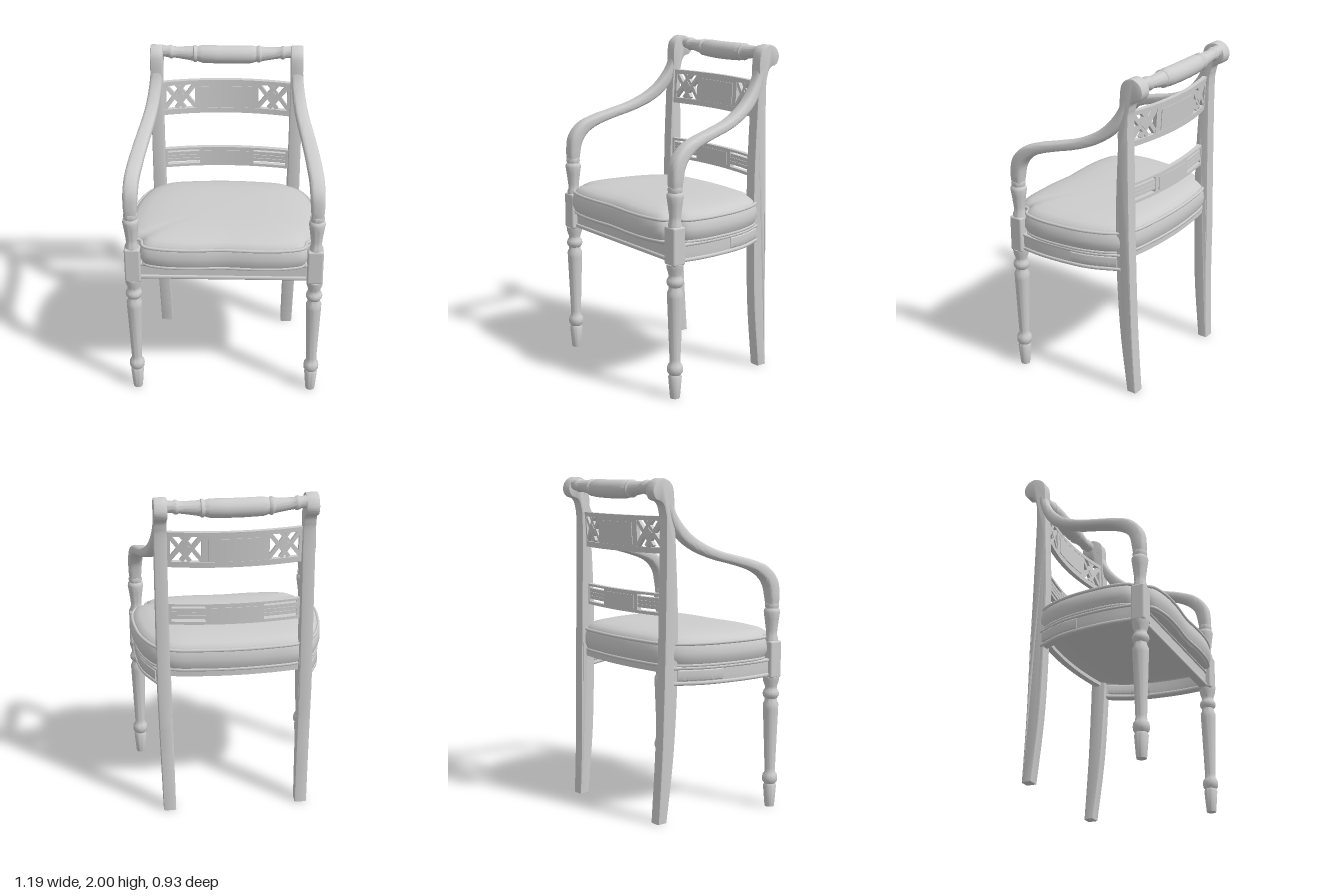
import * as THREE from 'three';
import { toCreasedNormals } from 'three/addons/utils/BufferGeometryUtils.js';
import { RoundedBoxGeometry } from 'three/addons/geometries/RoundedBoxGeometry.js';

const V = (x, y, z) => new THREE.Vector3(x, y, z);

// Closed skin over equal-sized rings of points, capped at both ends
function loft(rings) {
  const n = rings[0].length, pos = [], idx = [];
  rings.forEach(r => r.forEach(p => pos.push(p.x, p.y, p.z)));
  for (let i = 0; i < rings.length - 1; i++) for (let j = 0; j < n; j++) {
    const a = i * n + j, b = i * n + (j + 1) % n;
    idx.push(a, b, b + n, a, b + n, a + n);
  }
  [[rings[0], 0, true], [rings.at(-1), (rings.length - 1) * n, false]].forEach(([ring, base, flip]) => {
    const c = ring.reduce((s, p) => s.add(p), V(0, 0, 0)).divideScalar(n), k = pos.length / 3;
    pos.push(c.x, c.y, c.z);
    for (let j = 0; j < n; j++) {
      const a = base + j, b = base + (j + 1) % n;
      idx.push(k, flip ? b : a, flip ? a : b);
    }
  });
  const g = new THREE.BufferGeometry();
  g.setAttribute('position', new THREE.Float32BufferAttribute(pos, 3));
  g.setIndex(idx);
  return toCreasedNormals(g, 0.9);
}

// Sweep a rounded rectangle along rows of [x, y, z, width, thickness]
function sweep(rows, side, power, steps = 40) {
  const curve = new THREE.CatmullRomCurve3(rows.map(r => V(r[0] * side, r[1], r[2])));
  const size = new THREE.CatmullRomCurve3(rows.map(r => V(r[3], r[4], 0)), false, 'catmullrom', 0.3);
  const rings = [];
  for (let i = 0; i <= steps; i++) {
    const u = i / steps, c = curve.getPoint(u), d = size.getPoint(u), t = curve.getTangent(u);
    const s = V(1, 0, 0).addScaledVector(t, -t.x).normalize(), n = t.clone().cross(s);
    rings.push(Array.from({ length: 24 }, (_, j) => {
      const a = j / 24 * Math.PI * 2, e = v => Math.sign(v) * Math.abs(v) ** power;
      return c.clone().addScaledVector(s, e(Math.cos(a)) * d.x / 2).addScaledVector(n, e(Math.sin(a)) * d.y / 2);
    }));
  }
  return loft(rings);
}

// Turned profile from [radius, height] pairs
const turned = (pts, segs = 28) => toCreasedNormals(
  new THREE.LatheGeometry(pts.map(p => new THREE.Vector2(...p)), segs), 0.7);

export function createModel() {
  const model = new THREE.Group();
  const paint = new THREE.MeshStandardMaterial({ color: 0xcccccc });
  paint.name = 'lightGrey';
  const add = (name, geo, x = 0, y = 0, z = 0) => {
    const m = new THREE.Mesh(geo, paint);
    m.name = name;
    m.position.set(x, y, z);
    model.add(m);
    return m;
  };

  // Box bowed backwards in the middle, for the back rails
  const bowed = (name, x, y, w, h, d, z0, depth, lean = 0, angle = 0) => {
    const g = new THREE.BoxGeometry(w, h, d, 16, 2, 1).rotateZ(angle).translate(x, y, 0);
    const p = g.attributes.position;
    for (let i = 0; i < p.count; i++) {
      const bow = 1 - (p.getX(i) / 0.39) ** 2;
      p.setZ(i, p.getZ(i) + z0 - depth * bow - lean * (p.getY(i) - y) - lean * (y - 1.68));
    }
    g.computeVertexNormals();
    return add(name, g);
  };

  // Front legs, corner blocks, arm supports and arms
  const legProfile = [[0, 0], [0.028, 0], [0.03, 0.01], [0.04, 0.13], [0.034, 0.145], [0.045, 0.16], [0.047, 0.18],
    [0.044, 0.2], [0.033, 0.215], [0.032, 0.24], [0.046, 0.61], [0.047, 0.64], [0.038, 0.66], [0.036, 0.675],
    [0.047, 0.69], [0.05, 0.705], [0.046, 0.72], [0.036, 0.735], [0.037, 0.75], [0.047, 0.78], [0.05, 0.81], [0, 0.815]];
  const supportProfile = [[0, 1.02], [0.04, 1.02], [0.04, 1.04], [0.033, 1.06], [0.034, 1.09], [0.043, 1.16],
    [0.049, 1.2], [0.047, 1.215], [0.039, 1.225], [0.043, 1.24], [0.04, 1.255], [0, 1.26]];
  const armRows = [[0.545, 1.24, 0.37, 0.07, 0.07], [0.545, 1.3, 0.367, 0.082, 0.08], [0.542, 1.38, 0.352, 0.088, 0.088],
    [0.536, 1.445, 0.3, 0.088, 0.08], [0.525, 1.487, 0.22, 0.088, 0.064], [0.51, 1.523, 0.1, 0.086, 0.056],
    [0.49, 1.562, -0.04, 0.084, 0.058], [0.465, 1.617, -0.16, 0.08, 0.066], [0.445, 1.69, -0.25, 0.078, 0.07],
    [0.43, 1.8, -0.318, 0.075, 0.056], [0.425, 1.9, -0.345, 0.074, 0.05]];

  // Rear post outline as [z, y], with a rolled top
  const postEdge = [[-0.305, 0.4], [-0.285, 0.8], [-0.28, 1.2], [-0.295, 1.6], [-0.305, 1.78], [-0.31, 1.92],
    [-0.332, 1.975], [-0.385, 2], [-0.435, 1.98], [-0.458, 1.93], [-0.44, 1.885], [-0.395, 1.865], [-0.372, 1.82],
    [-0.362, 1.7], [-0.37, 1.2], [-0.38, 0.8], [-0.39, 0.4], [-0.41, 0]].map(p => new THREE.Vector2(...p));
  const postShape = new THREE.Shape().moveTo(-0.41, 0).lineTo(-0.35, 0).splineThru(postEdge);

  // Side rail of the seat, bowed outward
  const railRows = (y, w, h, out) => [[0.54, 0.34], [0.55, 0.2], [0.543, 0.05], [0.512, -0.13], [0.435, -0.3]]
    .map(([x, z]) => [x + out, y, z, w, h]);

  for (const s of [1, -1]) {
    const side = s > 0 ? 'left' : 'right';
    add(side + 'FrontLeg', turned(legProfile), 0.545 * s, 0, 0.37);
    add(side + 'CornerBlock', new RoundedBoxGeometry(0.095, 0.225, 0.085, 3, 0.012), 0.543 * s, 0.917, 0.37);
    add(side + 'ArmSupport', turned(supportProfile), 0.545 * s, 0, 0.37);
    add(side + 'Arm', sweep(armRows, s, 0.6), 0, 0, 0);

    const post = new THREE.ExtrudeGeometry(postShape, { depth: 0.059, curveSegments: 90, bevelThickness: 0.008,
      bevelSize: 0.008, bevelOffset: -0.008, bevelSegments: 2 }).translate(0, 0, -0.0295).rotateY(-Math.PI / 2);
    const p = post.attributes.position;
    for (let i = 0; i < p.count; i++) p.setX(i, p.getX(i) - s * 0.018 * Math.max(0, 1 - p.getY(i) / 0.8));
    add(side + 'RearPost', toCreasedNormals(post, 0.6), 0.426 * s);

    add(side + 'SeatRail', sweep(railRows(0.868, 0.045, 0.11, 0), s, 0.2));
    add(side + 'RailLowerMoulding', sweep(railRows(0.826, 0.055, 0.024, 0.002), s, 0.5));
    add(side + 'RailUpperMoulding', sweep(railRows(0.915, 0.055, 0.02, 0.002), s, 0.5));
    const panel = [[0.535, -0.02], [0.518, -0.11], [0.485, -0.2], [0.448, -0.28]];
    add(side + 'RailPanel', sweep(panel.map(([x, z]) => [x, 0.873, z, 0.056, 0.066]), s, 0.2));
  }

  // Front and back seat rails
  add('frontRail', new RoundedBoxGeometry(1.02, 0.11, 0.045, 2, 0.006), 0, 0.868, 0.355);
  add('frontRailLowerMoulding', new RoundedBoxGeometry(1.02, 0.026, 0.058, 3, 0.01), 0, 0.826, 0.358);
  add('frontRailUpperMoulding', new RoundedBoxGeometry(1.02, 0.024, 0.058, 3, 0.01), 0, 0.914, 0.358);
  bowed('backRail', 0, 0.908, 0.8, 0.04, 0.04, -0.325, 0.035);

  // Cushion with domed top and piping, notched around the arm supports
  const half = [[0.2, 0.455], [0.38, 0.445], [0.48, 0.41], [0.497, 0.345], [0.555, 0.315], [0.582, 0.22],
    [0.578, 0.05], [0.545, -0.13], [0.468, -0.29], [0.38, -0.35], [0.2, -0.378]];
  const outline = new THREE.CatmullRomCurve3([[0, 0.445], ...half, [0, -0.388],
    ...half.map(([x, z]) => [-x, z]).reverse()].map(([x, z]) => V(x, 0, z)), true).getSpacedPoints(140).slice(0, 140);
  const ring = (k, y) => outline.map(q => V(q.x * k, y, 0.03 + (q.z - 0.03) * k));
  add('cushion', loft([[0.5, 0.912], [0.95, 0.912], [0.975, 0.925], [0.99, 0.945], [1.01, 0.97], [1.012, 1], [1.003, 1.03],
    [0.985, 1.055], [0.965, 1.074], [0.91, 1.092], [0.8, 1.106], [0.62, 1.117], [0.4, 1.122], [0.15, 1.124]]
    .map(r => ring(...r))));
  for (const [k, y] of [[0.99, 1.056], [0.978, 0.93]]) {
    add('cushionPiping', new THREE.TubeGeometry(new THREE.CatmullRomCurve3(ring(k, y), true), 200, 0.01, 8, true));
  }

  // Turned top rail with a sagging barrel in the middle
  const rolls = [[0.036, 0.4], [0.034, 0.36], [0.041, 0.345], [0.041, 0.335], [0.034, 0.325], [0.036, 0.29], [0.043, 0.22],
    [0.046, 0.205], [0.052, 0.2], [0.052, 0.19], [0.045, 0.18], [0.05, 0.165], [0.054, 0.15], [0.055, 0.05]];
  const topRail = new THREE.LatheGeometry([...rolls.map(([r, x]) => [r, -x]), ...rolls.slice().reverse()]
    .map(q => new THREE.Vector2(...q)), 28).rotateZ(-Math.PI / 2);
  const tp = topRail.attributes.position;
  for (let i = 0; i < tp.count; i++) tp.setY(i, tp.getY(i) - 0.022 * (1 - (tp.getX(i) / 0.4) ** 2));
  add('topRail', toCreasedNormals(topRail, 0.7), 0, 1.955, -0.41);

  // Upper back splat with pierced lattice ends
  const splat = (name, x, y, w, h, d, a = 0) => bowed(name, x, y, w, h, d, -0.325, 0.05, 0.06, a);
  splat('splatPanel', 0, 1.68, 0.39, 0.205, 0.026);
  splat('splatRaisedField', 0, 1.68, 0.31, 0.13, 0.034);
  splat('splatTopRail', 0, 1.772, 0.79, 0.026, 0.03);
  splat('splatBottomRail', 0, 1.589, 0.79, 0.034, 0.03);
  for (const s of [1, -1]) {
    splat('splatStile', s * 0.382, 1.68, 0.022, 0.2, 0.026);
    const bar = (x0, y0, x1, y1) => splat('latticeBar', s * (x0 + x1) / 2, (y0 + y1) / 2,
      Math.hypot(x1 - x0, y1 - y0), 0.024, 0.022, s * Math.atan2(y1 - y0, x1 - x0));
    bar(0.19, 1.61, 0.31, 1.765);
    bar(0.26, 1.61, 0.38, 1.765);
    bar(0.19, 1.765, 0.31, 1.61);
    bar(0.26, 1.765, 0.38, 1.61);
    splat('latticeBoss', s * 0.285, 1.687, 0.045, 0.045, 0.03, Math.PI / 4);
  }

  // Lower back rail with reeded bars either side of a panel
  const lower = (name, x, y, w, h, d) => bowed(name, x, y, w, h, d, -0.31, 0.04);
  lower('lowerRailPanel', 0, 1.277, 0.34, 0.115, 0.03);
  lower('lowerRailField', 0, 1.277, 0.28, 0.08, 0.038);
  lower('lowerRailTopEdge', 0, 1.334, 0.79, 0.014, 0.03);
  lower('lowerRailBottomEdge', 0, 1.222, 0.79, 0.018, 0.03);
  for (const s of [1, -1]) {
    lower('lowerRailEnd', s * 0.382, 1.278, 0.025, 0.115, 0.028);
    for (const y of [1.258, 1.281, 1.304]) lower('reededBar', s * 0.275, y, 0.22, 0.02, 0.024);
    lower('reededBacking', s * 0.275, 1.281, 0.22, 0.05, 0.014);
  }
  return model;
}
